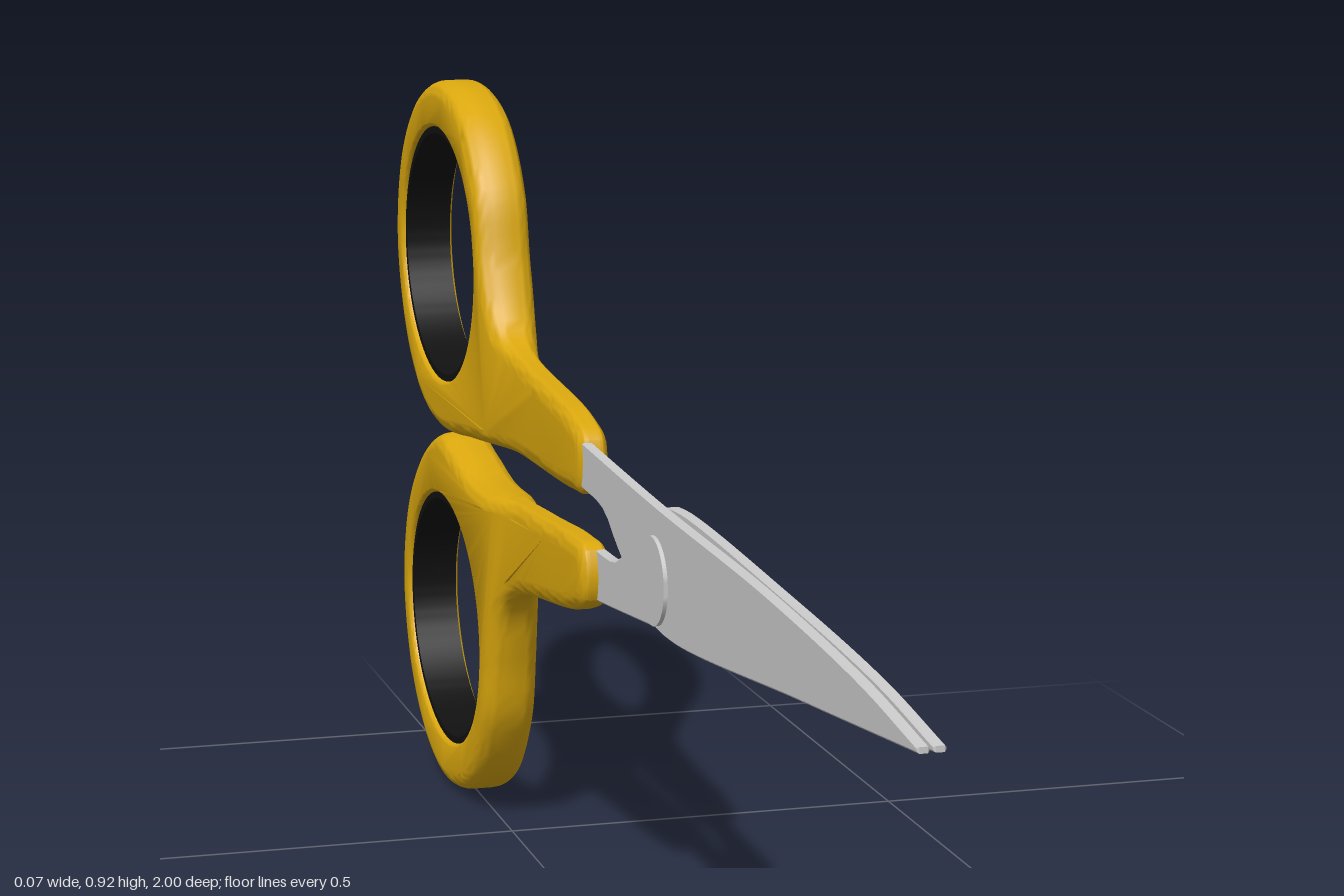
import * as THREE from 'three';
import { toCreasedNormals } from 'three/addons/utils/BufferGeometryUtils.js';

const steel = new THREE.MeshStandardMaterial({ color: 0xcccccc });
const yellow = new THREE.MeshStandardMaterial({ color: 0xdba80e });
const black = new THREE.MeshStandardMaterial({ color: 0x111111 });

// Smooth run of points through a few (z, y) control points
function smooth(points, count, closed = false) {
  const curve = new THREE.CatmullRomCurve3(
    points.map(([z, y]) => new THREE.Vector3(z, y, 0)), closed, 'centripetal');
  const out = curve.getSpacedPoints(count).map((p) => new THREE.Vector2(p.x, p.y));
  if (closed) out.pop();
  return out;
}

function ellipse(z, y, rz, ry) {
  return new THREE.Path().absellipse(z, y, rz, ry, 0, Math.PI * 2);
}

// Extrude a (z, y) shape into a plate centred on x = 0
function plate(shape, thickness, bevel, bevelSize, segments) {
  const depth = thickness - 2 * bevel;
  return new THREE.ExtrudeGeometry(shape, {
    depth, curveSegments: 64, bevelEnabled: bevel > 0, bevelThickness: bevel,
    bevelSize, bevelOffset: -bevelSize, bevelSegments: segments,
  }).translate(0, 0, -depth / 2).rotateY(-Math.PI / 2);
}

function addMesh(group, name, geometry, material) {
  const mesh = new THREE.Mesh(toCreasedNormals(geometry, 0.6), material);
  mesh.name = name;
  group.add(mesh);
  return mesh;
}

// Blade with its shank: each edge is a smooth curve
function addBlade(group, name, top, bottom, x) {
  const shape = new THREE.Shape([...smooth(top, 50), ...smooth(bottom, 50)]);
  addMesh(group, name, plate(shape, 0.012, 0.002, 0.002, 1), steel).position.x = x;
}

// Handle: thin arm swelling into a rounded finger ring with a dark lining
function addHandle(group, name, outline, cz, cy) {
  const rz = 0.195, ry = 0.153, wall = 0.006;
  const hz = rz + wall, hy = ry + wall;
  const shape = new THREE.Shape(smooth(outline, 150, true));
  shape.holes.push(ellipse(cz, cy, hz, hy));
  const geometry = plate(shape, 0.068, 0.022, 0.02, 6);
  const pos = geometry.attributes.position;
  for (let i = 0; i < pos.count; i++) {
    let z = pos.getZ(i), y = pos.getY(i);
    // Tighten the rounding beside the finger hole
    const e = Math.hypot((z - cz) / hz, (y - cy) / hy);
    const gap = Math.hypot(z - cz, y - cy) * (1 - 1 / e);
    if (gap < 0.024) {
      const k = (1 + (e - 1) * 0.35) / e;
      z = cz + (z - cz) * k;
      y = cy + (y - cy) * k;
    }
    // Thin the arm ahead of the ring
    const swell = THREE.MathUtils.smoothstep(-z, 0.4, 0.52);
    pos.setXYZ(i, pos.getX(i) * (0.53 + 0.47 * swell), y, z);
  }
  addMesh(group, name, geometry, yellow);

  const band = new THREE.Shape().absellipse(cz, cy, rz + 0.009, ry + 0.009, 0, Math.PI * 2);
  band.holes.push(ellipse(cz, cy, rz, ry));
  addMesh(group, name + 'Lining', plate(band, 0.058, 0, 0, 1), black);
}

export function createModel() {
  const scissors = new THREE.Group();
  scissors.name = 'scissors';

  // Left blade runs down to the lower handle
  addBlade(scissors, 'leftBlade',
    [[1, 0.513], [0.85, 0.532], [0.57, 0.549], [0.22, 0.56], [0.17, 0.552], [0.1, 0.515],
      [0.025, 0.475], [-0.02, 0.454], [-0.1, 0.45], [-0.16, 0.446]],
    [[-0.16, 0.386], [-0.094, 0.391], [0.195, 0.421], [0.68, 0.469], [1, 0.507]], 0.0075);

  // Right blade runs up to the upper handle
  addBlade(scissors, 'rightBlade',
    [[1, 0.513], [0.85, 0.532], [0.57, 0.55], [0.195, 0.56], [-0.1, 0.573], [-0.16, 0.576]],
    [[-0.16, 0.522], [-0.1, 0.52], [-0.01, 0.512], [0.035, 0.488], [0.1, 0.458], [0.17, 0.432],
      [0.25, 0.427], [0.68, 0.472], [1, 0.507]], -0.0075);

  // Pivot
  const pin = new THREE.CylinderGeometry(0.048, 0.048, 0.036, 40).rotateZ(Math.PI / 2);
  addMesh(scissors, 'pivot', pin, steel).position.set(0, 0.48, 0.195);

  // Handles
  addHandle(scissors, 'upperHandle',
    [[-0.1, 0.576], [-0.105, 0.517], [-0.153, 0.509], [-0.448, 0.501], [-0.609, 0.485],
      [-0.76, 0.472], [-0.865, 0.497], [-0.955, 0.573], [-1, 0.69], [-0.97, 0.805],
      [-0.88, 0.887], [-0.75, 0.92], [-0.612, 0.887], [-0.535, 0.807], [-0.507, 0.716],
      [-0.469, 0.646], [-0.42, 0.625], [-0.153, 0.596]], -0.75, 0.7);
  addHandle(scissors, 'lowerHandle',
    [[-0.098, 0.45], [-0.153, 0.456], [-0.314, 0.447], [-0.58, 0.437], [-0.69, 0.456],
      [-0.76, 0.466], [-0.87, 0.42], [-0.955, 0.335], [-0.986, 0.225], [-0.95, 0.115],
      [-0.86, 0.035], [-0.735, 0.003], [-0.59, 0.045], [-0.512, 0.137], [-0.485, 0.228],
      [-0.458, 0.298], [-0.42, 0.324], [-0.137, 0.373], [-0.094, 0.394]], -0.735, 0.227);

  return scissors;
}
